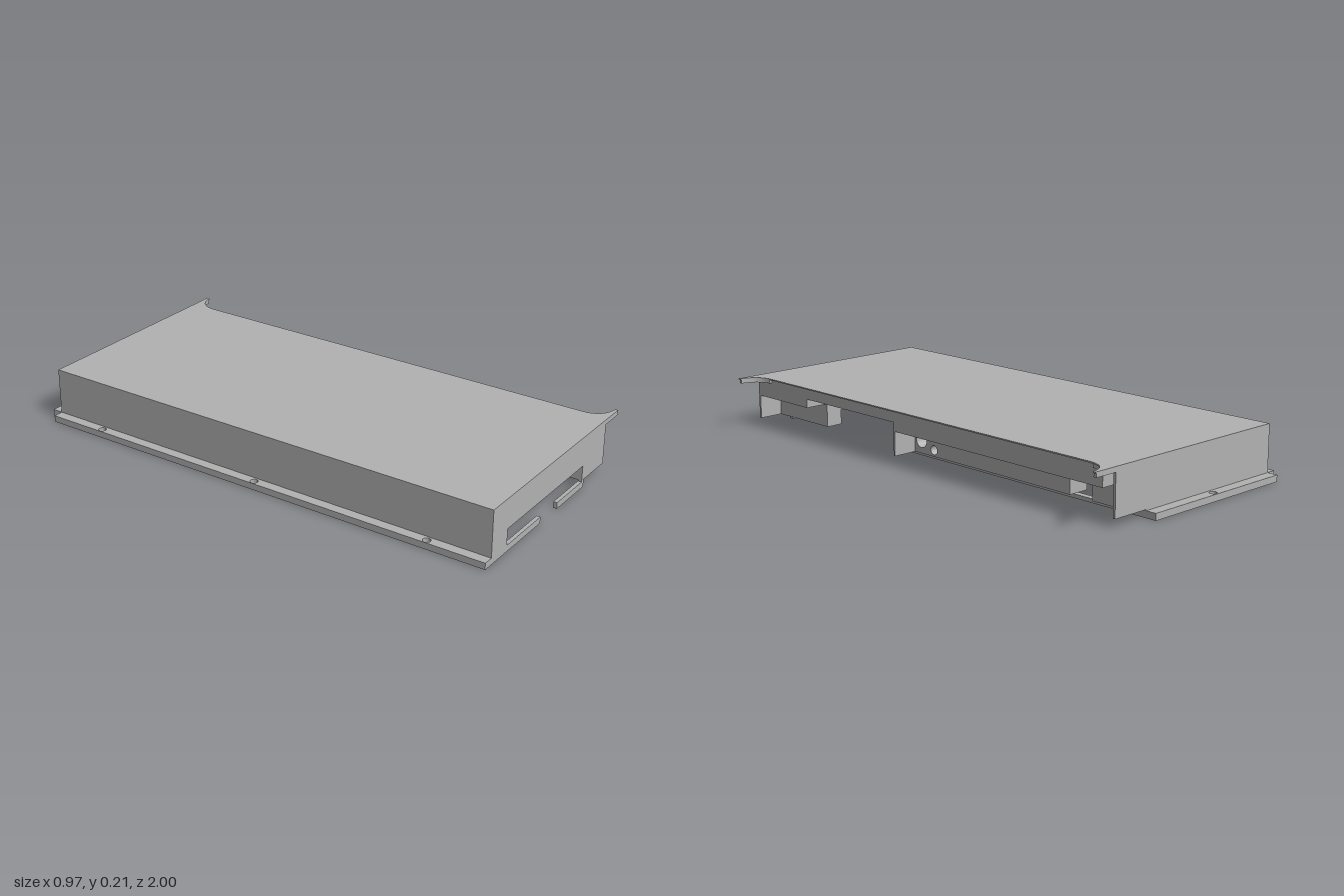
import * as THREE from 'three';

export function createModel() {
  const group = new THREE.Group();
  const metal = new THREE.MeshStandardMaterial({ color: 0xb2b2b2 });
  metal.name = 'grey metal';

  function add(name, geometry) {
    const mesh = new THREE.Mesh(geometry, metal);
    mesh.name = name;
    group.add(mesh);
    return mesh;
  }

  // Box given by its limits on each axis
  function box(name, x0, x1, y0, y1, z0, z1) {
    const g = new THREE.BoxGeometry(x1 - x0, y1 - y0, z1 - z0);
    g.translate((x0 + x1) / 2, (y0 + y1) / 2, (z0 + z1) / 2);
    add(name, g);
  }

  function rectangle(a0, a1, b0, b1, holes) {
    const s = new THREE.Shape();
    s.moveTo(a0, b0).lineTo(a1, b0).lineTo(a1, b1).lineTo(a0, b1).closePath();
    for (const [a, b, r] of holes) {
      const p = new THREE.Path();
      p.absarc(a, b, r, 0, Math.PI * 2, true);
      s.holes.push(p);
    }
    return s;
  }

  // Extrude a plan outline (x, -z) upwards
  function rise(name, shape, y0, y1) {
    const g = new THREE.ExtrudeGeometry(shape, { depth: y1 - y0, bevelEnabled: false, curveSegments: 10 });
    g.rotateX(-Math.PI / 2);
    g.translate(0, y0, 0);
    add(name, g);
  }

  // Horizontal plate with vertical holes [x, z]
  function plate(name, x0, x1, y0, y1, z0, z1, holes, r = 0.015) {
    rise(name, rectangle(x0, x1, -z1, -z0, holes.map(([x, z]) => [x, -z, r])), y0, y1);
  }

  // Block whose underside carries shallow screw holes
  function drilledBlock(name, x0, x1, y0, y1, z0, z1, holes) {
    plate(name + 'Underside', x0, x1, y0, y0 + 0.015, z0, z1, holes, 0.012);
    box(name, x0, x1, y0 + 0.015, y1, z0, z1);
  }

  // Upright plate facing +x with cross holes [z, y, r]
  function sidePlate(name, x0, x1, y0, y1, z0, z1, holes) {
    const s = rectangle(-z1, -z0, y0, y1, holes.map(([z, y, r]) => [-z, y, r]));
    const g = new THREE.ExtrudeGeometry(s, { depth: x1 - x0, bevelEnabled: false, curveSegments: 10 });
    g.rotateY(Math.PI / 2);
    g.translate(x0, 0, 0);
    add(name, g);
  }

  const L = -0.445, R = 0.386, BACK = -0.957, TOP = 0.205;

  // Top cover with flared corners on the open side
  const cover = new THREE.Shape();
  cover.moveTo(L, -1).lineTo(0.485, -1).lineTo(0.485, -0.988);
  cover.quadraticCurveTo(0.405, -0.98, 0.4, -0.9);
  cover.lineTo(0.4, 0.857);
  cover.quadraticCurveTo(0.405, 0.937, 0.485, 0.945);
  cover.lineTo(0.485, -BACK).lineTo(L, -BACK).closePath();
  rise('topCover', cover, TOP, 0.21);

  // Thicker ribs under the flared corners
  for (const [zEdge, dir] of [[1, 1], [BACK, -1]]) {
    const rib = new THREE.Shape();
    rib.moveTo(R, -zEdge).lineTo(0.48, -zEdge).lineTo(0.48, -(zEdge - dir * 0.012));
    rib.quadraticCurveTo(0.405, -(zEdge - dir * 0.02), 0.398, -(zEdge - dir * 0.09));
    rib.lineTo(R, -(zEdge - dir * 0.09)).closePath();
    rise('cornerRib', rib, 0.19, TOP);
  }

  // Mounting flanges
  plate('sideFlange', -0.485, L, 0, 0.026, BACK, 1, [[-0.467, -0.72], [-0.467, 0.02], [-0.467, 0.76]]);
  plate('backFlange', L, 0.23, 0, 0.026, -1, BACK, [[-0.1, -0.98]]);

  // Closed long side, beside the front cavity
  drilledBlock('sideBeam', L, -0.34, 0, TOP, 0.28, 1, [[-0.38, 0.3], [-0.37, 0.87]]);

  // Front section with its slot, step and side ledge
  drilledBlock('slotCeiling', -0.34, 0.215, 0.09, TOP, 0.68, 1, [[-0.29, 0.92], [0.03, 0.92]]);
  drilledBlock('frontRail', 0.215, 0.286, 0.03, TOP, 0.68, 1, [[0.25, 0.86], [0.25, 0.72]]);
  drilledBlock('frontLedge', 0.286, R, 0.125, TOP, 0.68, 1, [[0.33, 0.94], [0.33, 0.74]]);
  box('frontWall', 0.215, R, 0.03, TOP, 0.99, 1);
  box('frontLip', -0.34, -0.1, 0, 0.025, 0.985, 1);
  box('frontLip', 0.025, 0.23, 0, 0.025, 0.985, 1);
  box('frontLipEnd', 0.215, 0.23, 0, 0.03, 0.985, 1);

  // Roof of the large cavity
  box('cavityRoof', -0.34, R, 0.16, TOP, 0.155, 0.68);

  // Rear base with the pierced wall of the long pocket
  box('rearBase', L, 0.045, 0, TOP, BACK, 0.28);
  sidePlate('pocketWall', 0.045, 0.06, 0, 0.16, -0.765, 0.28, [[0.11, 0.08, 0.028]]);
  box('pocketRoof', 0.045, 0.2, 0.125, TOP, -0.765, 0.155);
  box('pocketLip', 0.205, 0.23, 0, 0.015, -0.765, 0.28);
  box('pocketEndBar', 0.06, 0.23, 0, 0.015, 0.262, 0.28);
  box('pocketBracket', 0.19, 0.205, 0.015, 0.07, 0.19, 0.26);

  // Long side rail with ledge and end plate
  sidePlate('sideRail', 0.2, 0.286, 0.03, 0.125, -0.66, 0.155, [[0.11, 0.08, 0.028], [0.04, 0.055, 0.018]]);
  drilledBlock('sideLedge', 0.2, R, 0.125, TOP, -0.9, 0.155, [[0.33, 0.02], [0.33, -0.37]]);
  box('railEndPlate', 0.2, R, 0.03, 0.125, 0.147, 0.155);

  // Rear corner
  box('rearBaseEnd', 0.045, 0.23, 0, TOP, BACK, -0.765);
  box('rearRail', 0.23, 0.286, 0.03, 0.125, -0.9, -0.765);
  box('rearCornerRoof', 0.23, R, 0.185, TOP, BACK, -0.9);
  box('backWall', 0.23, R, 0.03, TOP, BACK, -0.947);

  return group;
}
